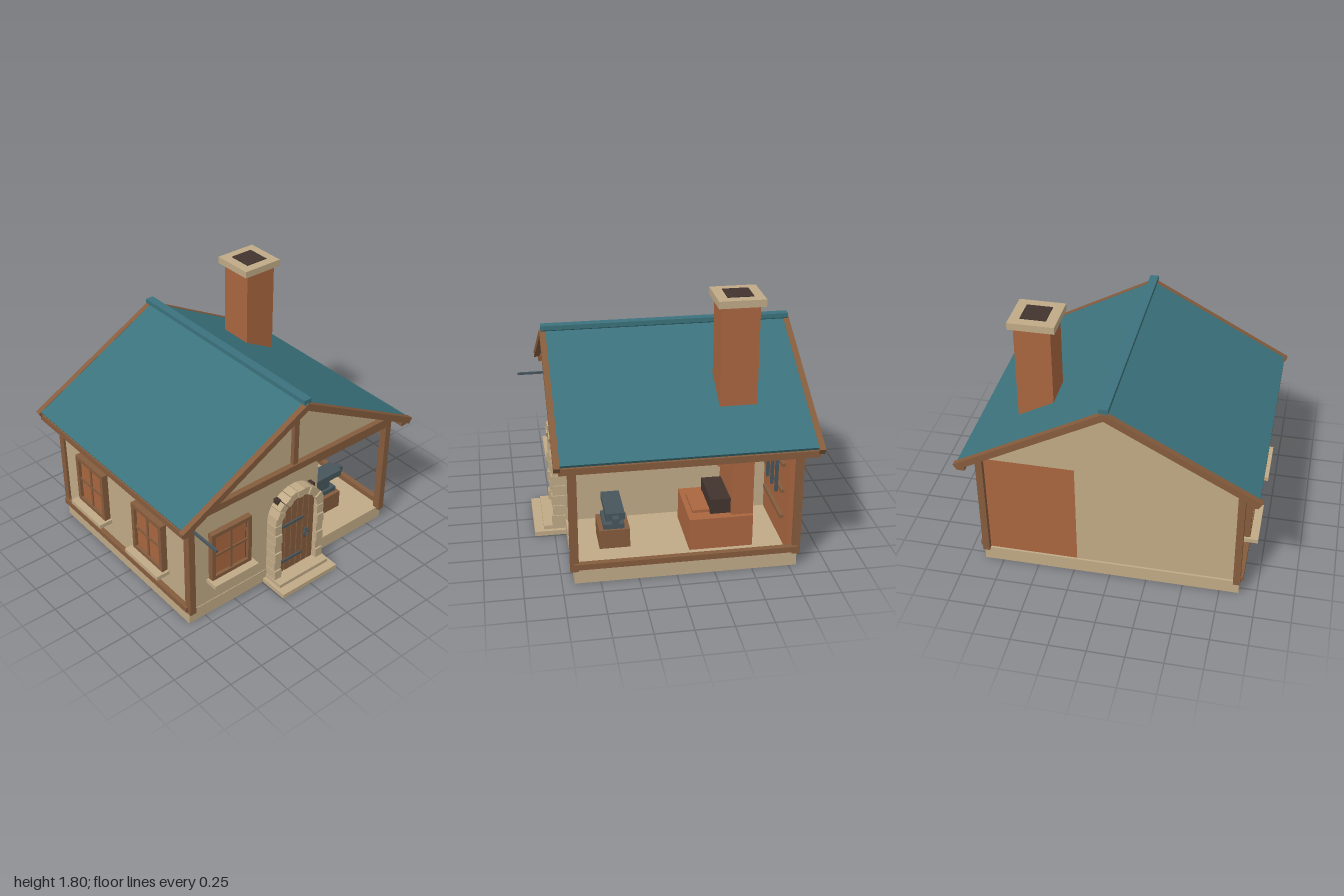
import * as THREE from 'three';

const mat = (name, color) => Object.assign(new THREE.MeshStandardMaterial({ color }), { name });

export function createModel() {
  const root = new THREE.Group();
  root.name = 'forgeCottage';
  const plaster = mat('sandyPlaster', 0xc0aa86);
  const brick = mat('redBrick', 0xaa6640);
  const wood = mat('brownTimber', 0x855c3d);
  const teal = mat('tealRoof', 0x3b727c);
  const dark = mat('darkSoot', 0x42342e);
  const iron = mat('greyIron', 0x47565c);

  const add = (name, geo, m, parent = root) => {
    const mesh = new THREE.Mesh(geo, m);
    mesh.name = name;
    parent.add(mesh);
    return mesh;
  };
  // box given by its limits on each axis
  const box = (name, m, x0, x1, y0, y1, z0, z1, parent = root) => {
    const mesh = add(name, new THREE.BoxGeometry(x1 - x0, y1 - y0, z1 - z0), m, parent);
    mesh.position.set((x0 + x1) / 2, (y0 + y1) / 2, (z0 + z1) / 2);
    return mesh;
  };
  // outline in x and y pushed along z
  const slab = (name, m, pts, z0, z1, parent = root) => {
    const shape = new THREE.Shape(pts.map(p => new THREE.Vector2(...p)));
    const geo = new THREE.ExtrudeGeometry(shape, { depth: z1 - z0, bevelEnabled: false });
    geo.translate(0, 0, z0);
    return add(name, geo, m, parent);
  };

  // foundation and walls
  box('foundation', plaster, -0.88, 0.88, 0, 0.1, -0.8, 0.67);
  box('frontWall', plaster, -0.86, 0.23, 0.1, 0.87, 0.62, 0.665);
  box('leftWall', plaster, -0.87, -0.83, 0.1, 0.87, -0.78, 0.65);
  box('partitionWall', plaster, 0.19, 0.23, 0.1, 0.87, -0.74, 0.62);
  box('backWall', plaster, -0.86, 0.23, 0.1, 0.87, -0.785, -0.735);
  box('brickBackWall', brick, 0.23, 0.86, 0.1, 0.87, -0.785, -0.735);
  for (const [n, z0, z1] of [['frontGable', 0.62, 0.66], ['backGable', -0.795, -0.755]])
    slab(n, plaster, [[-0.85, 0.87], [0.85, 0.87], [0.82, 0.91], [0, 1.385], [-0.82, 0.91]], z0, z1);

  // timber frame
  for (const s of [-1, 1]) {
    const side = (n, a, b, ...r) => box(n, wood, Math.min(s * a, s * b), Math.max(s * a, s * b), ...r);
    side('frontPost', 0.84, 0.887, 0.09, 0.88, 0.64, 0.695);
    side('backPost', 0.84, 0.887, 0.09, 0.88, -0.82, -0.768);
    side('sillBeam', 0.865, 0.905, 0.112, 0.152, -0.8, 0.67);
    side('wallPlate', 0.845, 0.9, 0.85, 0.895, -0.8, 0.67);
    side('eaveBeam', 0.93, 0.975, 0.835, 0.88, -0.895, 0.755);
  }
  box('frontTieBeam', wood, -0.885, 0.885, 0.86, 0.91, 0.635, 0.7);
  box('workshopLintel', wood, 0.2, 0.845, 0.828, 0.862, 0.635, 0.69);
  box('kingPost', wood, -0.02, 0.02, 0.905, 1.4, 0.64, 0.69);

  // roof slopes, barge boards and ridge
  const slope = 0.54, top = 1.432;
  const roofY = x => top - slope * x;
  for (const s of [-1, 1]) {
    const strip = (xe, lift, t) => [[0, top + lift], [s * xe, roofY(xe) + lift],
      [s * (xe - t * 0.45), roofY(xe - t * 0.45) + lift - t], [0, top + lift - t]];
    slab('roofSlope', teal, strip(0.978, 0, 0.025), -0.89, 0.75);
    slab('frontBargeBoard', wood, strip(0.997, 0.002, 0.052), 0.745, 0.785);
    slab('backBargeBoard', wood, strip(0.997, 0.002, 0.052), -0.92, -0.88);
  }
  slab('ridgeCap', teal, [[-0.03, 1.463], [-0.03, 1.432], [0, 1.41], [0.03, 1.432], [0.03, 1.463]], -0.91, 0.777);

  // chimney and forge
  box('chimneyStack', brick, 0.41, 0.65, 0.65, 1.75, -0.555, -0.31);
  box('chimneyCap', plaster, 0.375, 0.68, 1.747, 1.795, -0.585, -0.283);
  box('chimneyFlue', dark, 0.443, 0.613, 1.793, 1.8, -0.52, -0.35);
  box('forgeBack', brick, 0.34, 0.72, 0.3, 0.84, -0.535, -0.39);
  box('forgeHearth', brick, 0.31, 0.75, 0.1, 0.325, -0.53, -0.105);
  box('hearthLedge', brick, 0.4, 0.66, 0.32, 0.345, -0.26, -0.14);
  box('firebox', dark, 0.37, 0.69, 0.325, 0.43, -0.39, -0.255);

  // tool rails on the brick wall
  for (const y of [0.3, 0.49, 0.68]) box('toolRail', wood, 0.31, 0.755, y - 0.012, y + 0.012, -0.736, -0.71);
  for (const x of [0.45, 0.56, 0.67]) box('hangingTool', iron, x - 0.01, x + 0.01, 0.45, 0.69, -0.71, -0.69);

  // anvil on its block
  const anvil = new THREE.Group();
  anvil.name = 'anvil';
  root.add(anvil);
  box('anvilBlock', wood, 0.415, 0.645, 0.1, 0.235, 0.275, 0.48, anvil);
  box('anvilFoot', iron, 0.43, 0.63, 0.235, 0.27, 0.31, 0.45, anvil);
  box('anvilWaist', iron, 0.47, 0.585, 0.27, 0.34, 0.33, 0.43, anvil);
  box('anvilFace', iron, 0.38, 0.69, 0.337, 0.385, 0.315, 0.44, anvil);
  box('anvilHorn', iron, 0.67, 0.74, 0.325, 0.37, 0.357, 0.4, anvil);

  // window facing +z, with its base at the origin
  const makeWindow = (name, x, z, turn) => {
    const w = new THREE.Group();
    w.name = name;
    box('windowBacking', dark, -0.16, 0.16, 0.31, 0.68, 0, 0.022, w);
    for (const s of [-1, 1]) {
      box('windowStile', wood, s * 0.15 - 0.015, s * 0.15 + 0.015, 0.3, 0.685, 0, 0.045, w);
      box('windowRail', wood, -0.14, 0.14, 0.4925 + s * 0.1775 - 0.015, 0.4925 + s * 0.1775 + 0.015, 0, 0.045, w);
      for (const t of [-1, 1])
        box('windowPane', brick, s * 0.068 - 0.058, s * 0.068 + 0.058,
          0.4925 + t * 0.083 - 0.073, 0.4925 + t * 0.083 + 0.073, 0.02, 0.028, w);
    }
    box('windowMullion', wood, -0.01, 0.01, 0.31, 0.675, 0.02, 0.036, w);
    box('windowCrossbar', wood, -0.135, 0.135, 0.483, 0.502, 0.02, 0.036, w);
    box('windowSill', plaster, -0.183, 0.183, 0.272, 0.302, 0, 0.1, w);
    w.position.set(x, 0, z);
    w.rotation.y = turn;
    root.add(w);
  };
  makeWindow('frontWindow', -0.545, 0.66, 0);
  for (const z of [-0.405, 0.265]) makeWindow('sideWindow', -0.87, z, -Math.PI / 2);

  // door with planks and iron fittings
  const door = new THREE.Group();
  door.name = 'door';
  root.add(door);
  const cy = 0.522, inner = 0.158, outer = 0.215;
  box('doorBacking', dark, -0.165, 0.165, 0.06, 0.69, 0.66, 0.71, door);
  const archY = x => cy + Math.sqrt(inner * inner - x * x);
  for (let i = 0; i < 6; i++) {
    const a = -0.155 + i * 0.0517 + 0.003, b = a + 0.0457, m = (a + b) / 2;
    slab('doorPlank', wood, [[a, 0.06], [b, 0.06], [b, archY(b)], [m, archY(m)], [a, archY(a)]], 0.7, 0.722, door);
  }
  for (const y of [0.155, 0.465]) box('hingeStrap', iron, -0.15, 0.05, y - 0.009, y + 0.009, 0.72, 0.732, door);
  box('handlePlate', iron, 0.068, 0.092, 0.315, 0.35, 0.72, 0.734, door);
  add('ringHandle', new THREE.TorusGeometry(0.023, 0.006, 8, 20), iron, door).position.set(0.08, 0.31, 0.735);

  // stone surround
  for (const s of [-1, 1]) for (let i = 0; i < 6; i++) {
    const y = 0.06 + i * 0.077;
    box('jambStone', plaster, s * 0.1865 - 0.0285, s * 0.1865 + 0.0285, y, y + 0.072, 0.66, i % 2 ? 0.752 : 0.76);
  }
  for (let i = 0; i < 11; i++) {
    const a = i * Math.PI / 11 + 0.012, b = (i + 1) * Math.PI / 11 - 0.012;
    const at = (r, t) => [r * Math.cos(t), cy + r * Math.sin(t)];
    slab('archStone', plaster, [at(inner, a), at(outer, a), at(outer, b), at(inner, b)], 0.66, i % 2 ? 0.76 : 0.752);
  }

  // steps
  box('lowerStep', plaster, -0.245, 0.243, 0, 0.033, 0.66, 0.885);
  box('upperStep', plaster, -0.22, 0.215, 0.02, 0.06, 0.66, 0.82);

  // iron sign rod
  box('signRod', iron, -0.848, -0.832, 0.772, 0.788, 0.66, 0.92);
  return root;
}
